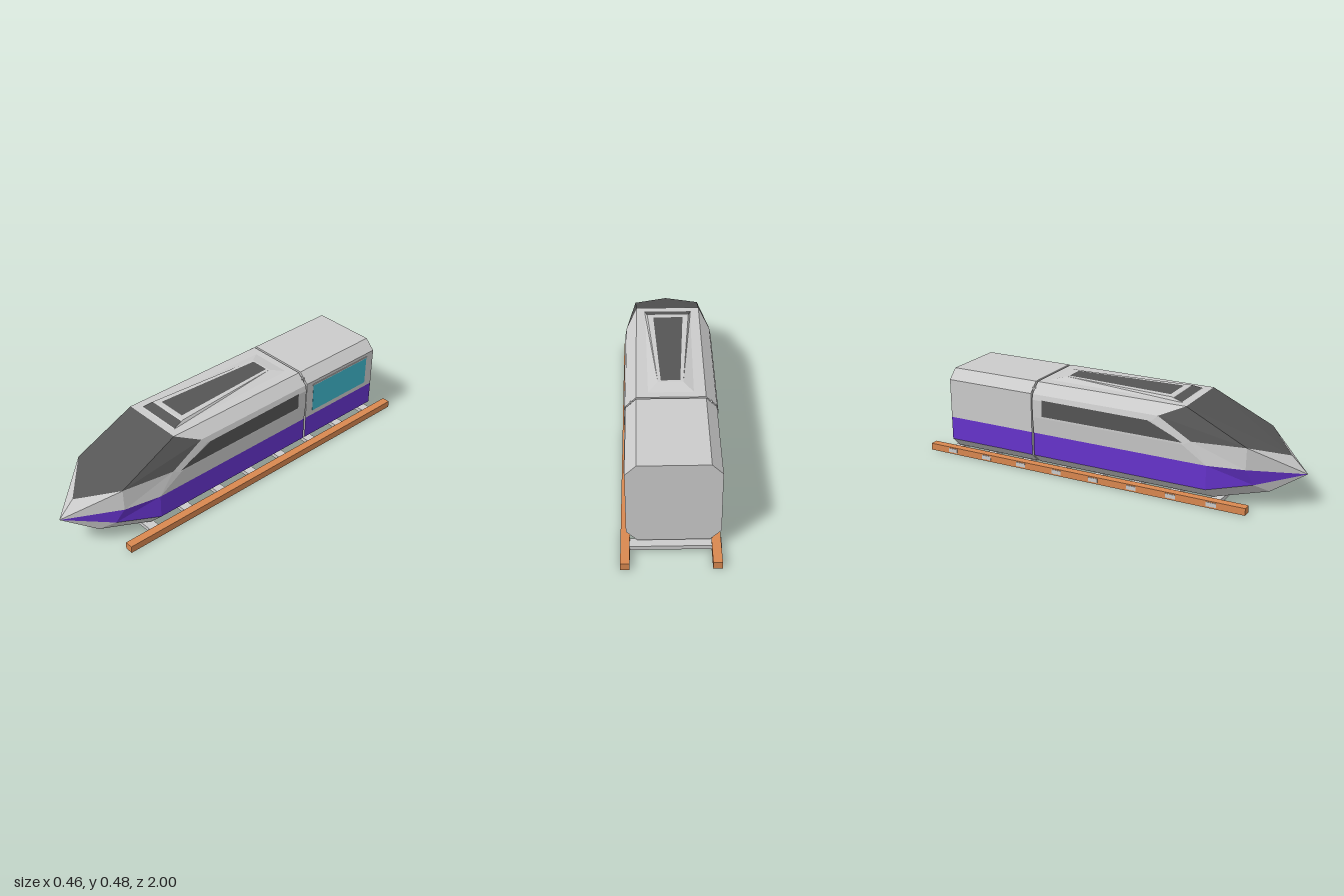
import * as THREE from 'three';

const mat = (color) => new THREE.MeshStandardMaterial({ color, flatShading: true });
const GREY = mat(0xcccccc), DARK = mat(0x555555), PURPLE = mat(0x6633cc);
const TEAL = mat(0x3fb8cc), ORANGE = mat(0xd98850);

// Flat panels from convex outlines, mirrored in x and turned to face away from an inner point
function panels(name, material, outlines, inner) {
  const pos = [];
  const a = new THREE.Vector3(), b = new THREE.Vector3(), c = new THREE.Vector3();
  const n = new THREE.Vector3(), out = new THREE.Vector3();
  for (const o of outlines) for (const s of [1, -1]) for (let i = 1; i < o.length - 1; i++) {
    [[a, o[0]], [b, o[i]], [c, o[i + 1]]].forEach(([v, p]) => v.set(p[0] * s, p[1], p[2]));
    n.subVectors(b, a).cross(out.subVectors(c, a));
    out.copy(a).add(b).add(c).divideScalar(3).sub(inner);
    const order = n.dot(out) >= 0 ? [a, b, c] : [a, c, b];
    for (const v of order) pos.push(v.x, v.y, v.z);
  }
  const g = new THREE.BufferGeometry();
  g.setAttribute('position', new THREE.Float32BufferAttribute(pos, 3));
  g.computeVertexNormals();
  const m = new THREE.Mesh(g, material);
  m.name = name;
  return m;
}

function box(name, material, x0, x1, y0, y1, z0, z1) {
  const m = new THREE.Mesh(new THREE.BoxGeometry(x1 - x0, y1 - y0, z1 - z0), material);
  m.position.set((x0 + x1) / 2, (y0 + y1) / 2, (z0 + z1) / 2);
  m.name = name;
  return m;
}

// Half cross-section, from roof centre round to floor centre
const top = [0, 0.463], A = [0.162, 0.463], B = [0.2125, 0.413], C = [0.22, 0.385];
const D = [0.22, 0.295], E = [0.2125, 0.21], F = [0.2125, 0.09], G = [0.162, 0.04], low = [0, 0.04];
const at = (p, z) => [p[0], p[1], z];
const span = (p, q, z0, z1, z2 = z1) => [at(p, z0), at(p, z1), at(q, z2), at(q, z0)];

function locomotive() {
  const g = new THREE.Group();
  g.name = 'locomotive';
  const inner = new THREE.Vector3(0, 0.25, 0.1), r = -0.355;
  // Nose points
  const S = [0.2125, 0.315, 0.5], P = [0.17, 0.315, 0.76], T = [0, 0.25, 0.92], N = [0, 0.172, 1];
  const Q = [0.177, 0.21, 0.76], H = [0.145, 0.13, 0.79], J = [0.09, 0.09, 0.85], K = [0, 0.055, 0.81];
  const A1 = at(A, 0.45), B1 = at(B, 0.33), C1 = at(C, 0.3), D1 = at(D, 0.46);
  const E1 = at(E, 0.58), F1 = at(F, 0.58), G1 = at(G, 0.6);
  const add = (name, m, list) => g.add(panels(name, m, list, inner));
  add('upperBody', GREY, [
    span(top, A, r, 0.45), span(A, B, r, 0.45, 0.33), span(B, C, r, 0.33, 0.3),
    span(C, D, r, 0.3, 0.46), span(D, E, r, 0.46, 0.58), [B1, S, D1, C1], [D1, S, E1],
  ]);
  add('noseTop', GREY, [[S, P, Q, E1], [P, T, N], [P, N, Q]]);
  add('windshield', DARK, [[A1, B1, P], [B1, S, P], [A1, P, T], [A1, T, at(top, 0.45)]]);
  add('sideStripe', PURPLE, [span(E, F, r, 0.58), [H, F1, E1], [H, E1, Q], [H, Q, N]]);
  add('underbody', GREY, [
    span(F, G, r, 0.58, 0.6), span(G, low, r, 0.6), [F1, H, G1], [H, J, G1],
    [H, N, J], [J, N, K], [J, K, G1], [G1, K, at(low, 0.6)],
  ]);
  add('rearWall', GREY, [[top, A, B, C, D, E, F, G, low].map((p) => at(p, r))]);

  // Long side windows with slanted front ends
  const w = 0.2215;
  add('sideWindow', DARK, [[
    [w, 0.305, -0.3], [w, 0.39, -0.3], [w, 0.385, 0.28], [w, 0.33, 0.41], [w, 0.305, 0.46],
  ]]);

  // Raised roof fairing with two dark panes
  const y0 = 0.462, y1 = 0.477;
  const f0 = [0.12, y0, 0.42], f1 = [0.105, y1, 0.35], b0 = [0.11, y0, -0.32], b1 = [0.06, y1, -0.25];
  const mid = (p) => [0, p[1], p[2]];
  add('roofFairing', GREY, [
    [mid(f1), f1, b1, mid(b1)], [f0, f1, b1, b0], [f0, f1, mid(f1), mid(f0)], [b0, b1, mid(b1), mid(b0)],
  ]);
  add('roofWindow', DARK, [
    [[0, 0.4785, 0.33], [0.075, 0.4785, 0.33], [0.046, 0.4785, -0.24], [0, 0.4785, -0.24]],
    [[0, 0.4655, 0.41], [0.119, 0.4655, 0.41], [0.107, 0.4765, 0.36], [0, 0.4765, 0.36]],
  ]);
  return g;
}

function carriage() {
  const g = new THREE.Group();
  g.name = 'carriage';
  const inner = new THREE.Vector3(0, 0.25, -0.6), z0 = -0.855, z1 = -0.366;
  const add = (name, m, list) => g.add(panels(name, m, list, inner));
  add('carriageBody', GREY, [
    ...[[top, A], [A, B], [B, E], [F, G], [G, low]].map(([p, q]) => span(p, q, z0, z1)),
    ...[z0, z1].map((z) => [top, A, B, E, F, G, low].map((p) => at(p, z))),
  ]);
  add('carriageStripe', PURPLE, [span(E, F, z0, z1)]);
  // Large window on one side only, under a thin lip
  g.add(box('carriageWindow', TEAL, 0.2, 0.2135, 0.235, 0.388, -0.805, -0.413));
  g.add(box('windowLip', GREY, 0.2, 0.216, 0.388, 0.395, -0.81, -0.408));
  return g;
}

function track() {
  const g = new THREE.Group();
  g.name = 'track';
  g.add(box('leftRail', ORANGE, 0.187, 0.228, 0, 0.036, -1, 0.78));
  g.add(box('rightRail', ORANGE, -0.22, -0.178, 0, 0.036, -1, 0.78));
  for (let i = 0; i < 8; i++) {
    const z = -0.86 + i * 0.21;
    g.add(box('sleeper', GREY, -0.223, 0.2, 0.009, 0.03, z - 0.026, z + 0.026));
  }
  return g;
}

export function createModel() {
  const model = new THREE.Group();
  model.name = 'train';
  const cars = new THREE.Group();
  cars.name = 'cars';
  cars.position.x = -0.0095;
  cars.add(locomotive(), carriage(), box('coupling', GREY, -0.19, 0.19, 0.07, 0.44, -0.37, -0.35));
  model.add(cars, track());
  return model;
}
